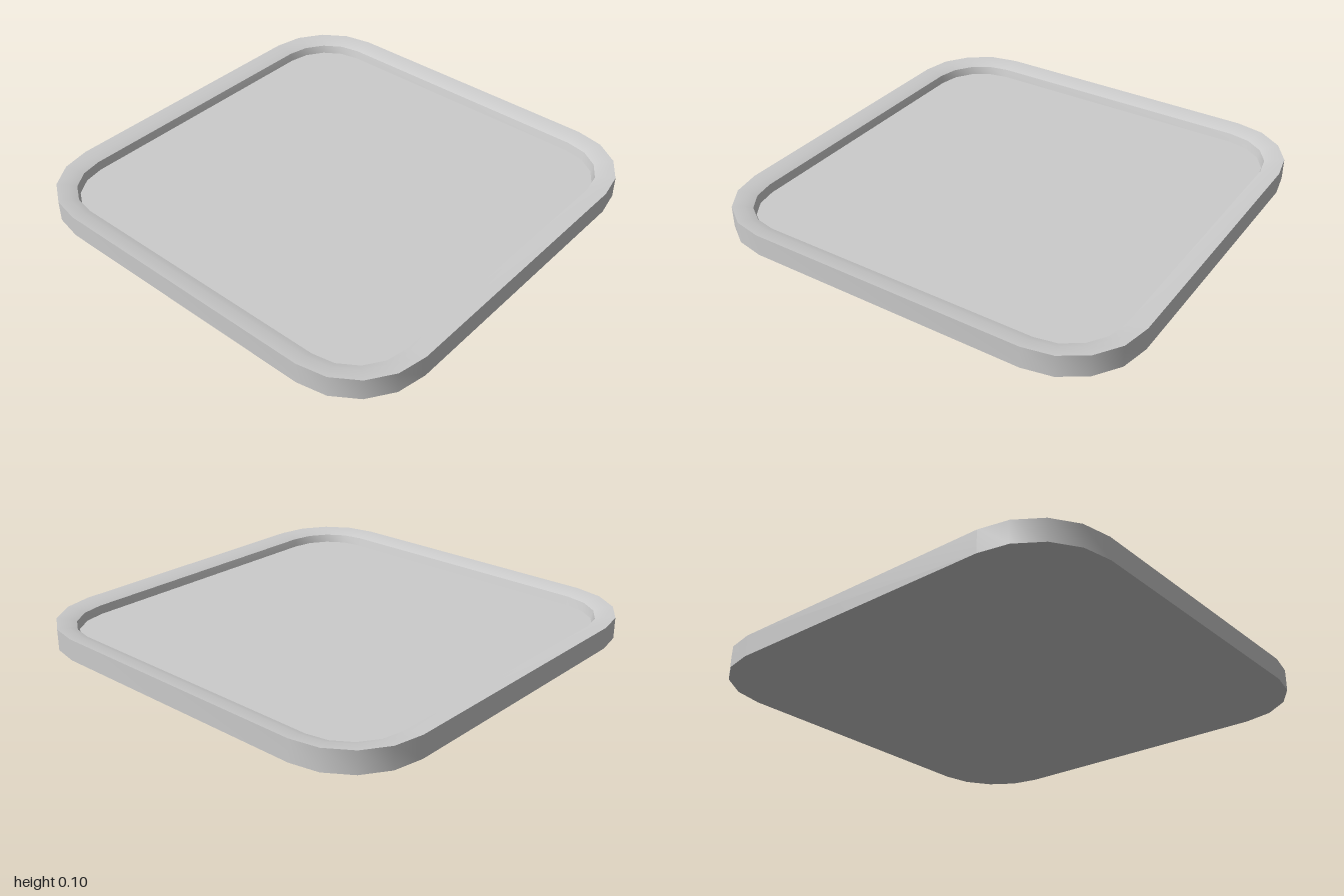
import * as THREE from 'three';
import { toCreasedNormals } from 'three/addons/utils/BufferGeometryUtils.js';

const CORNER = 0.655; // centre of the corner arcs
const ARC_STEPS = 4;

// Rounded square outline, counter-clockwise from above
function outline(half) {
  const points = [];
  const r = half - CORNER;
  for (let q = 0; q < 4; q++) {
    const mid = Math.PI / 4 + q * Math.PI / 2;
    const cx = CORNER * Math.sign(Math.cos(mid));
    const cy = CORNER * Math.sign(Math.sin(mid));
    for (let i = 0; i <= ARC_STEPS; i++) {
      const a = (q + i / ARC_STEPS) * Math.PI / 2;
      points.push(new THREE.Vector2(cx + r * Math.cos(a), cy + r * Math.sin(a)));
    }
  }
  return points;
}

// Skin a list of [halfSize, height] rings, running up the outside and down the inside
function skin(profile) {
  const rings = profile.map(([half, y]) => outline(half).map(p => [p.x, y, -p.y]));
  const n = rings[0].length;
  const index = [];
  for (let k = 0; k < rings.length - 1; k++) {
    for (let i = 0; i < n; i++) {
      const j = (i + 1) % n;
      const a = k * n + i, b = k * n + j;
      index.push(a, b, a + n, b, b + n, a + n);
    }
  }
  const geometry = new THREE.BufferGeometry();
  geometry.setAttribute('position', new THREE.Float32BufferAttribute(rings.flat(2), 3));
  geometry.setIndex(index);
  return toCreasedNormals(geometry, 0.8);
}

// Flat panel at a given height, facing up or down
function panel(half, y, up) {
  const geometry = new THREE.ShapeGeometry(new THREE.Shape(outline(half)));
  geometry.rotateX(up ? -Math.PI / 2 : Math.PI / 2);
  return geometry.translate(0, y, 0);
}

export function createModel() {
  const group = new THREE.Group();
  group.name = 'tray';
  const material = new THREE.MeshStandardMaterial({ color: 0xcccccc });
  const add = (name, geometry) => {
    const mesh = new THREE.Mesh(geometry, material);
    mesh.name = name;
    group.add(mesh);
  };

  // Outer wall, softly dished rim and inner wall
  add('rim', skin([[1, 0], [1, 0.1], [0.945, 0.095], [0.91, 0.083], [0.9, 0.045]]));
  // Recessed floor and flat underside
  add('floor', panel(0.9, 0.045, true));
  add('underside', panel(1, 0, false));
  return group;
}
